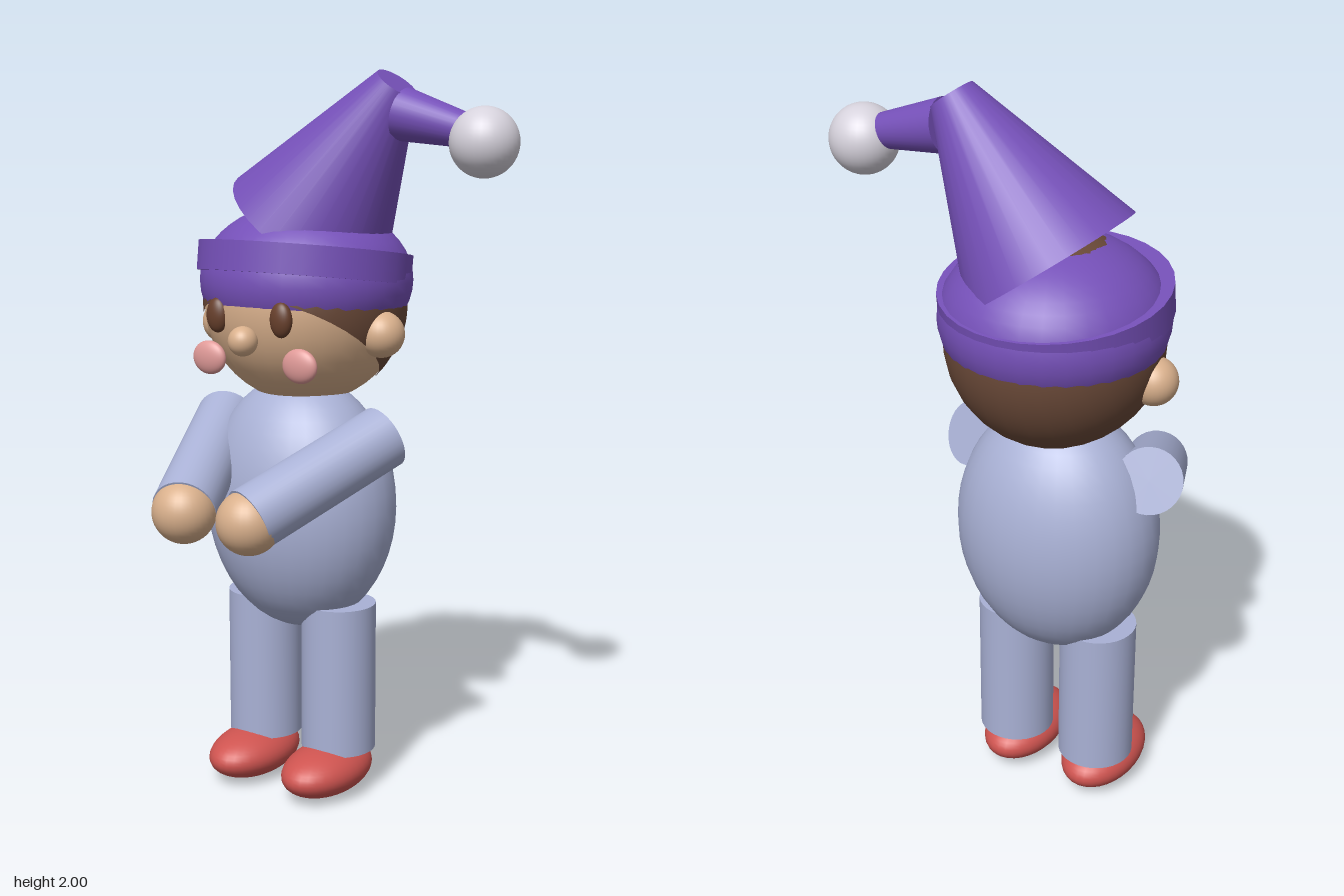
import * as THREE from 'three';

const mat = (name, color) => {
  const m = new THREE.MeshStandardMaterial({ color });
  m.name = name;
  return m;
};

export function createModel() {
  const purple = mat('hat purple', 0x7550b8);
  const blue = mat('suit blue', 0xa9b1d5);
  const skin = mat('skin', 0xd9b08c);
  const brown = mat('hair brown', 0x6a4938);
  const eyeBrown = mat('eye brown', 0x68402c);
  const pink = mat('cheek pink', 0xe09a98);
  const red = mat('shoe red', 0xcf5450);
  const white = mat('pompom white', 0xd6d2dc);

  const model = new THREE.Group();
  // the figure stands off centre because the hat tip hangs to one side
  const figure = new THREE.Group();
  figure.name = 'figure';
  figure.position.x = -0.142;
  model.add(figure);

  const add = (name, geometry, material, x = 0, y = 0, z = 0) => {
    const mesh = new THREE.Mesh(geometry, material);
    mesh.name = name;
    mesh.position.set(x, y, z);
    figure.add(mesh);
    return mesh;
  };
  const ball = (name, material, pos, radii) => {
    const mesh = add(name, new THREE.SphereGeometry(1, 32, 24), material, ...pos);
    mesh.scale.set(...radii);
    return mesh;
  };
  // straight or tapered limb between two points
  const limb = (name, material, from, to, r0, r1) => {
    const a = new THREE.Vector3(...from);
    const dir = new THREE.Vector3(...to).sub(a);
    const mesh = add(name, new THREE.CylinderGeometry(r1, r0, dir.length(), 32), material);
    mesh.position.copy(a).addScaledVector(dir, 0.5);
    mesh.quaternion.setFromUnitVectors(new THREE.Vector3(0, 1, 0), dir.normalize());
    return mesh;
  };

  // body and head
  ball('body', blue, [0, 0.82, -0.075], [0.283, 0.36, 0.23]);
  ball('head', skin, [0, 1.38, -0.1], [0.28, 0.28, 0.28]);
  ball('nose', skin, [0, 1.3, 0.187], [0.04, 0.04, 0.04]);

  // hair cap tilted over the back of the head
  const hair = add('hair', new THREE.SphereGeometry(0.283, 32, 24, 0, Math.PI * 2, 0, 2.03),
    brown, 0, 1.38, -0.1);
  hair.rotation.x = -0.585;

  // paired parts
  for (const [side, s] of [['left', 1], ['right', -1]]) {
    ball(side + 'Ear', skin, [s * 0.265, 1.31, -0.075], [0.063, 0.063, 0.063]);
    ball(side + 'Eye', eyeBrown, [s * 0.105, 1.36, 0.16], [0.033, 0.047, 0.022]);
    ball(side + 'Cheek', pink, [s * 0.15, 1.24, 0.14], [0.054, 0.046, 0.022]);
    limb(side + 'Arm', blue, [s * 0.268, 1.03, -0.085], [s * 0.108, 0.855, 0.31], 0.088, 0.088);
    ball(side + 'Hand', skin, [s * 0.108, 0.85, 0.31], [0.087, 0.087, 0.087]);
    limb(side + 'Leg', blue, [s * 0.128, 0.12, -0.075], [s * 0.128, 0.545, -0.075], 0.105, 0.105);
    ball(side + 'Shoe', red, [s * 0.128, 0.07, -0.018], [0.106, 0.07, 0.168]);
  }

  // hat: dome, tilted brim band, leaning cone, drooping tip and pompom
  ball('hatDome', purple, [0, 1.44, -0.104], [0.296, 0.215, 0.292]);
  const band = add('hatBand', new THREE.CylinderGeometry(0.296, 0.296, 0.08, 32), purple,
    0, 1.487, -0.097);
  band.rotation.x = -0.13;
  limb('hatCone', purple, [0.003, 1.585, -0.12], [0.28, 1.965, -0.12], 0.24, 0.06);
  limb('hatTip', purple, [0.3, 1.885, -0.12], [0.505, 1.84, -0.12], 0.07, 0.042);
  ball('pompom', white, [0.542, 1.815, -0.12], [0.091, 0.091, 0.091]);

  return model;
}
